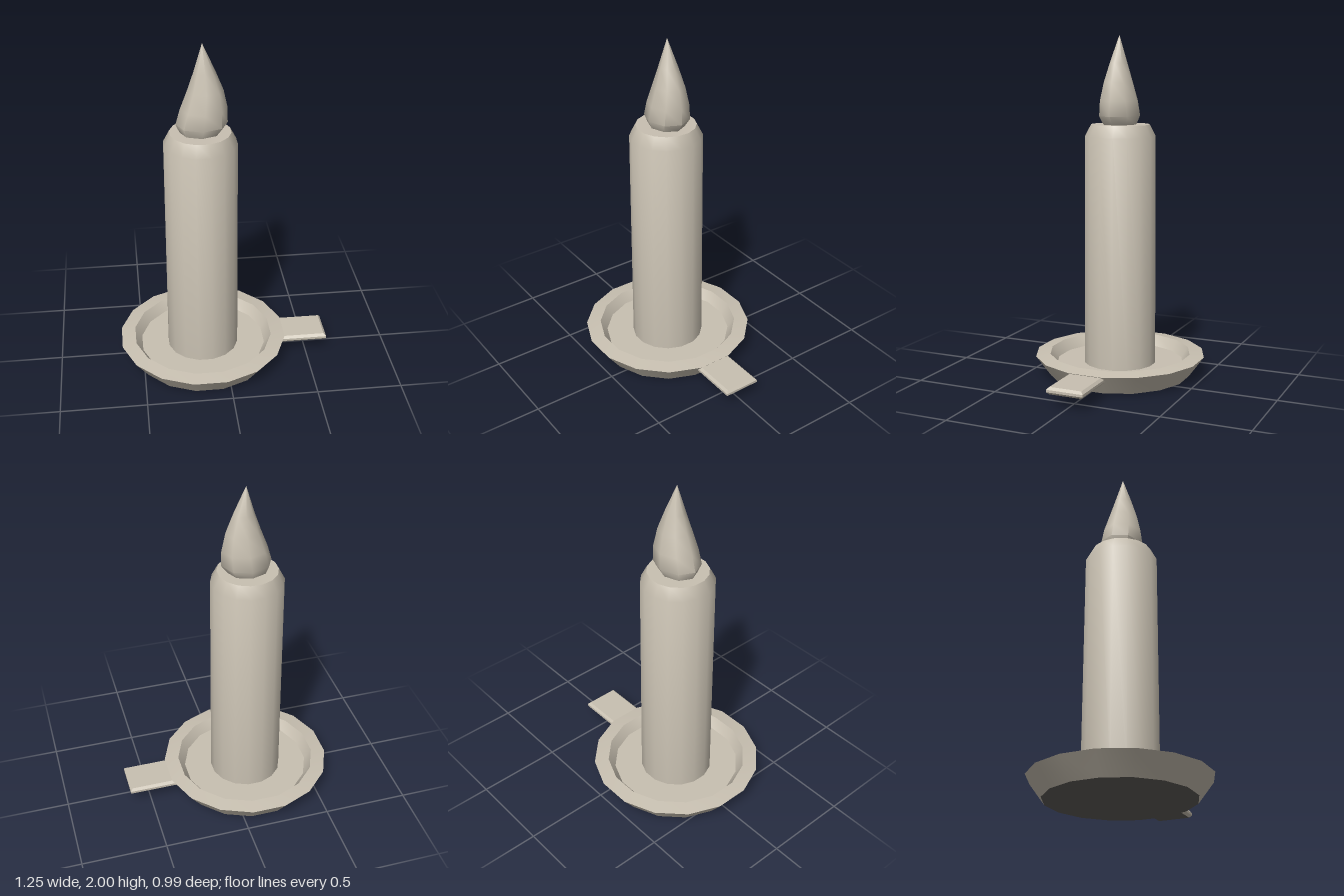
import * as THREE from 'three';
import { toCreasedNormals } from 'three/addons/utils/BufferGeometryUtils.js';

function makeMaterial(name, color) {
  const material = new THREE.MeshStandardMaterial({ color });
  material.name = name;
  return material;
}
const clay = makeMaterial('clay', 0xc8c0b1);
const darkBase = makeMaterial('darkBase', 0x625f5b);

const AXIS_X = -0.13;
const FLAT = 1 / Math.cos(Math.PI / 16); // flat-to-flat radius to corner radius
const GRIP = { x0: 0.31, x1: 0.611, halfZ: 0.095, bottom: 0.075 };

function addMesh(group, name, geometry, material, crease) {
  const mesh = new THREE.Mesh(toCreasedNormals(geometry, crease), material);
  mesh.name = name;
  group.add(mesh);
  return mesh;
}

// Sixteen-sided turned part with flats facing the axes
function turned(profile) {
  const points = profile.map(([r, y]) => new THREE.Vector2(r * FLAT, y));
  return new THREE.LatheGeometry(points, 16, Math.PI / 16).translate(AXIS_X, 0, 0);
}

// Leaning flame: each ring is [left x, right x, half depth, y]
function flameGeometry() {
  const rings = [
    [-0.13, -0.13, 0, 1.486],
    [-0.245, -0.012, 0.098, 1.488],
    [-0.266, 0.023, 0.121, 1.537],
    [-0.241, 0.022, 0.112, 1.625],
    [-0.201, 0, 0.086, 1.73],
    [-0.163, -0.044, 0.053, 1.84],
    [-0.115, -0.115, 0, 2],
  ];
  const geometry = new THREE.LatheGeometry(
    rings.map(([l, r, , y]) => new THREE.Vector2((r - l) / 2, y)), 8);
  const pos = geometry.attributes.position;
  for (let i = 0; i < pos.count; i++) {
    const [l, r, depth] = rings[i % rings.length];
    pos.setX(i, pos.getX(i) + (l + r) / 2);
    pos.setZ(i, r > l ? pos.getZ(i) * depth * 2 / (r - l) : 0);
  }
  return geometry;
}

// Flat grip with chamfered edges, its inner end buried in the dish wall
function handleGeometry() {
  const { x0, x1, halfZ, bottom } = GRIP;
  const bevel = 0.014;
  const shape = new THREE.Shape([
    new THREE.Vector2(x0, -halfZ), new THREE.Vector2(x1, -halfZ),
    new THREE.Vector2(x1, halfZ), new THREE.Vector2(x0, halfZ),
  ]);
  const geometry = new THREE.ExtrudeGeometry(shape, {
    depth: 0.014, bevelEnabled: true, bevelSegments: 1,
    bevelSize: bevel, bevelThickness: bevel,
  });
  return geometry.rotateX(-Math.PI / 2).translate(0, bottom + bevel, 0);
}

// Dark face just below the grip
function handleUndersideGeometry() {
  const { x0, x1, halfZ, bottom } = GRIP;
  return new THREE.PlaneGeometry(x1 - x0, halfZ * 2)
    .rotateX(Math.PI / 2)
    .translate((x0 + x1) / 2, bottom - 0.001, 0);
}

export function createModel() {
  const group = new THREE.Group();
  group.name = 'candleAndHolder';

  addMesh(group, 'dish', turned([
    [0.41, 0], [0.496, 0.12], [0.412, 0.131], [0.372, 0.07], [0, 0.07],
  ]), clay, 0.7);
  addMesh(group, 'dishUnderside', turned([[0, 0], [0.41, 0]]), darkBase, 0.7);

  addMesh(group, 'candle', turned([
    [0.21, 0.065], [0.205, 1.42], [0.17, 1.488], [0, 1.488],
  ]), clay, 0.7);

  addMesh(group, 'flame', flameGeometry(), clay, 0.95);
  addMesh(group, 'handle', handleGeometry(), clay, 0.4);
  addMesh(group, 'handleUnderside', handleUndersideGeometry(), darkBase, 0.4);
  return group;
}
